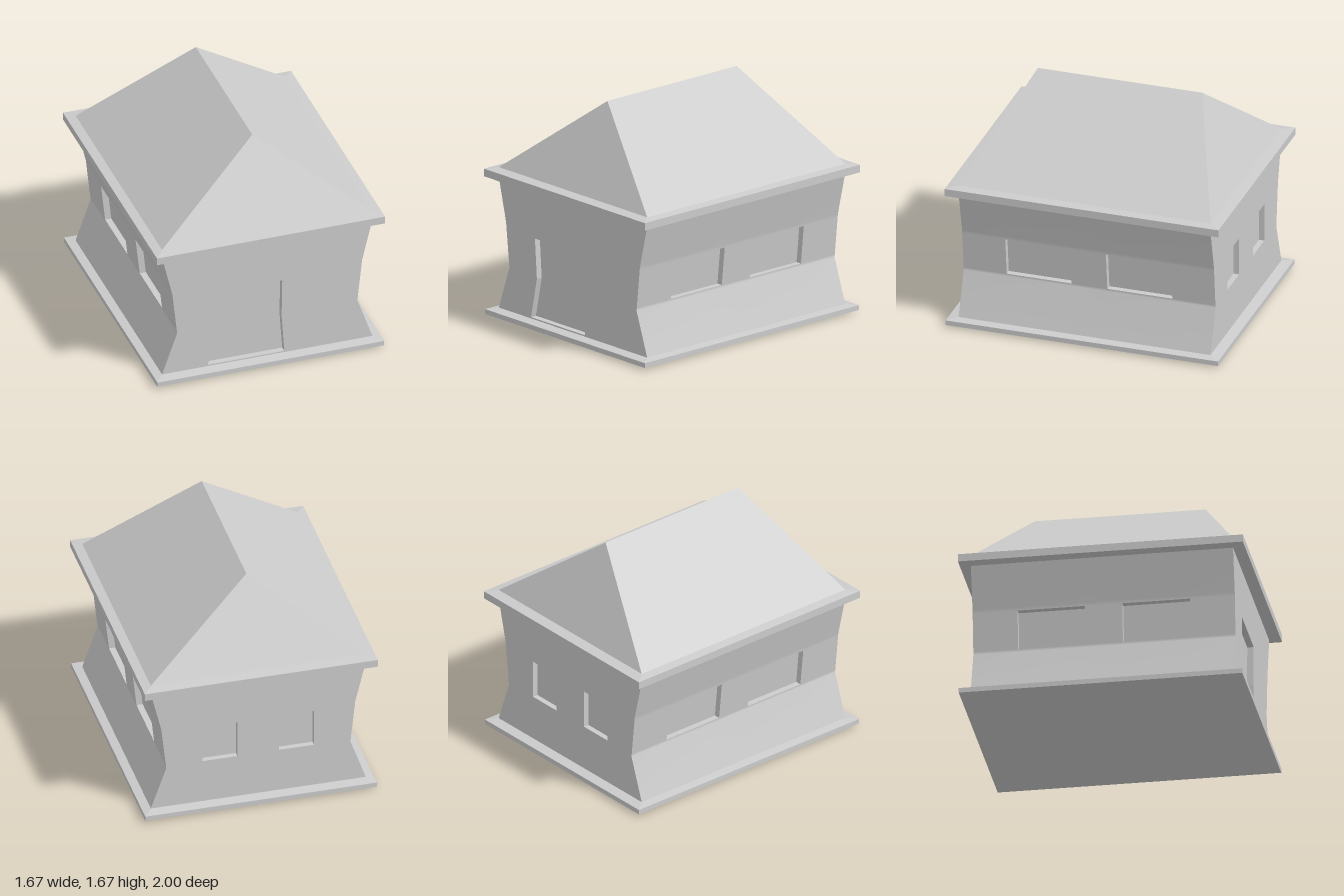
import * as THREE from 'three';

const material = new THREE.MeshStandardMaterial({ color: 0xcccccc, side: THREE.DoubleSide });
const HALF_Z = 0.92;
// Half width of the house against height: [y, x]
const profile = [[0.06, 0.77], [0.375, 0.66], [0.70, 0.695], [1.01, 0.77]];

function halfWidth(y) {
  let i = 0;
  while (i < profile.length - 2 && y > profile[i + 1][0]) i++;
  const [y0, x0] = profile[i], [y1, x1] = profile[i + 1];
  return x0 + (x1 - x0) * (y - y0) / (y1 - y0);
}

// Flat-shaded faces from quads [a, b, c, d] in anticlockwise order
function quadGeometry(quads) {
  const points = [];
  for (const [a, b, c, d] of quads) {
    for (const tri of [[a, b, c], [a, c, d]]) {
      if (new THREE.Triangle(...tri).getArea() > 1e-8) points.push(...tri);
    }
  }
  const geometry = new THREE.BufferGeometry().setFromPoints(points);
  geometry.computeVertexNormals();
  return geometry;
}

// Stack of rectangular rings [halfX, halfZ, y], closed at both ends
function rectLoft(rings) {
  const loops = rings.map(([x, z, y]) =>
    [[-x, z], [x, z], [x, -z], [-x, -z]].map(([px, pz]) => new THREE.Vector3(px, y, pz)));
  const quads = [[...loops[0]].reverse(), loops[loops.length - 1]];
  for (let r = 0; r < loops.length - 1; r++) {
    for (let i = 0; i < 4; i++) {
      const j = (i + 1) % 4;
      quads.push([loops[r][i], loops[r][j], loops[r + 1][j], loops[r + 1][i]]);
    }
  }
  return quadGeometry(quads);
}

// Recess behind an opening; rows are [y, left, right] from bottom to top
function recess(rows, face, depth) {
  const at = (u, y, d) => new THREE.Vector3(u, y, face(y) - d);
  const quads = [];
  for (let i = 0; i < rows.length - 1; i++) {
    const [y0, l0, r0] = rows[i], [y1, l1, r1] = rows[i + 1];
    quads.push(
      [at(l0, y0, depth), at(r0, y0, depth), at(r1, y1, depth), at(l1, y1, depth)],
      [at(l0, y0, 0), at(l0, y0, depth), at(l1, y1, depth), at(l1, y1, 0)],
      [at(r0, y0, depth), at(r0, y0, 0), at(r1, y1, 0), at(r1, y1, depth)]);
  }
  const [yb, lb, rb] = rows[0], [yt, lt, rt] = rows[rows.length - 1];
  quads.push(
    [at(lb, yb, 0), at(rb, yb, 0), at(rb, yb, depth), at(lb, yb, depth)],
    [at(lt, yt, depth), at(rt, yt, depth), at(rt, yt, 0), at(lt, yt, 0)]);
  return quadGeometry(quads);
}

// Flat end wall with the bowed outline and its openings cut out
function endWall(openings) {
  const outline = [
    ...profile.map(([y, x]) => new THREE.Vector2(x, y)),
    ...[...profile].reverse().map(([y, x]) => new THREE.Vector2(-x, y))];
  const shape = new THREE.Shape(outline);
  for (const rows of openings) {
    shape.holes.push(new THREE.Path([
      ...rows.map(([y, l]) => new THREE.Vector2(l, y)),
      ...[...rows].reverse().map(([y, , r]) => new THREE.Vector2(r, y))]));
  }
  return new THREE.ShapeGeometry(shape).translate(0, 0, HALF_Z);
}

// Curved side wall: a smooth grid with the window cells left out
function sideWall(us, ys, isOpen) {
  const points = [], all = [], kept = [];
  for (const y of ys) for (const u of us) points.push(new THREE.Vector3(u, y, halfWidth(y)));
  for (let j = 0; j < ys.length - 1; j++) {
    for (let i = 0; i < us.length - 1; i++) {
      const a = j * us.length + i, b = a + 1, c = b + us.length, d = a + us.length;
      const cell = [a, b, c, a, c, d];
      all.push(...cell);
      if (!isOpen(i, j)) kept.push(...cell);
    }
  }
  const geometry = new THREE.BufferGeometry().setFromPoints(points);
  geometry.setIndex(all);
  geometry.computeVertexNormals();
  geometry.setIndex(kept);
  return geometry;
}

export function createModel() {
  const house = new THREE.Group();
  house.name = 'house';
  const add = (name, geometry, parent = house) => {
    const mesh = new THREE.Mesh(geometry, material);
    mesh.name = name;
    parent.add(mesh);
  };
  const side = (name, turn) => {
    const group = new THREE.Group();
    group.name = name;
    group.rotation.y = turn;
    house.add(group);
    return group;
  };
  const flat = () => HALF_Z;

  // Base slab, eaves and hipped roof
  add('baseSlab', rectLoft([[0.77, 0.92, 0], [0.83, 0.995, 0.015], [0.83, 0.995, 0.05], [0.77, 0.92, 0.06]]));
  add('eaves', rectLoft([[0.77, 0.92, 1.005], [0.835, 1, 1.015], [0.835, 1, 1.07], [0.77, 0.92, 1.08]]));
  add('roof', rectLoft([[0.77, 0.92, 1.08], [0, 0.6, 1.675]]));

  // Front wall with the crooked doorway
  const door = [[0.07, -0.435, 0.125], [0.36, -0.375, 0.105], [0.65, -0.395, 0.11]];
  const front = side('front', 0);
  add('frontWall', endWall([door]), front);
  add('door', recess(door, flat, 0.045), front);

  // Back wall with two small windows
  const backWindows = [[-0.4, -0.15], [0.15, 0.4]].map(([l, r]) => [[0.39, l, r], [0.67, l, r]]);
  const back = side('back', Math.PI);
  add('backWall', endWall(backWindows), back);
  for (const rows of backWindows) add('backWindow', recess(rows, flat, 0.04), back);

  // Side walls, each with two wide windows
  const us = [-HALF_Z, -0.605, -0.13, 0.13, 0.605, HALF_Z];
  const ys = [0.06, 0.375, 0.395, 0.675, 0.70, 1.01];
  for (const [name, turn] of [['left', Math.PI / 2], ['right', -Math.PI / 2]]) {
    const group = side(name, turn);
    add(name + 'Wall', sideWall(us, ys, (i, j) => j === 2 && (i === 1 || i === 3)), group);
    for (const i of [1, 3]) {
      const rows = [0.395, 0.675].map((y) => [y, us[i], us[i + 1]]);
      add(name + 'Window', recess(rows, halfWidth, 0.045), group);
    }
  }
  return house;
}
